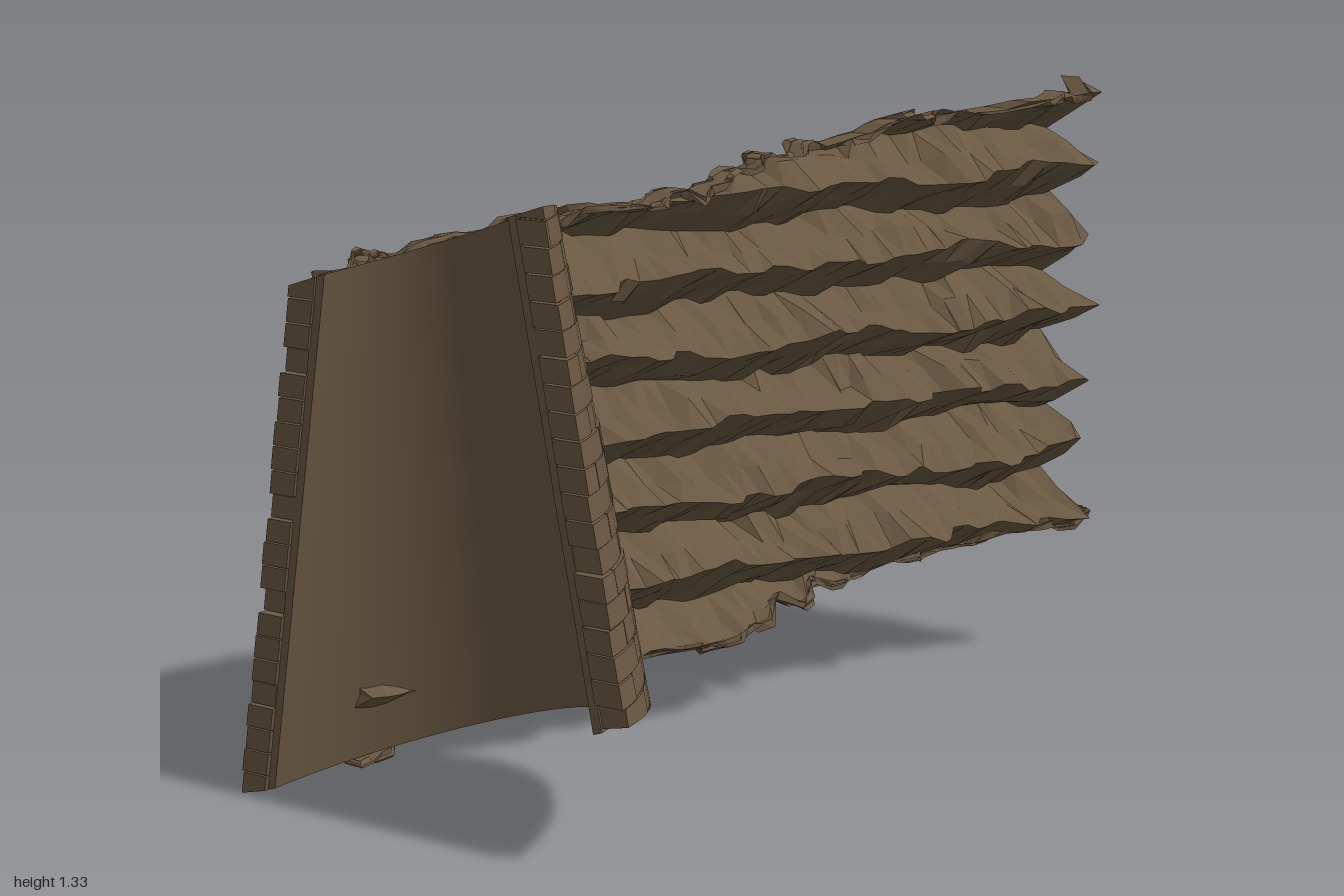
import * as THREE from 'three';
import { mergeGeometries } from 'three/addons/utils/BufferGeometryUtils.js';

const clamp = THREE.MathUtils.clamp;

// Repeatable noise in -1..1 for a pair of grid numbers
function noise(i, j, seed) {
  const s = Math.sin(i * 127.1 + j * 311.7 + seed * 74.7) * 43758.5453;
  return 2 * (s - Math.floor(s)) - 1;
}

// Tower frame: centre, facing direction N and direction T along the cut
const CX = -0.799, CZ = 0.089;
const NX = 0.866, NZ = -0.5, TX = 0.5, TZ = 0.866;
const CUT = 0.057;
const bottomAt = (s) => 0.16 + 0.335 * s;
const topAt = (s) => 1.155 + 0.335 * s;
const radiusAt = (y) => 0.498 - 0.171 * y;

// Point on the tapering half-round tower: u = -1..1 round the arc,
// d = depth below the outer face, inset = distance kept from foot and head
function towerPoint(u, d, y0, inset = 0) {
  let y = y0, r, a;
  for (let k = 0; k < 4; k++) {
    r = radiusAt(y) - d;
    a = u * Math.acos(CUT / r);
    const s = r * Math.sin(a);
    y = clamp(y0, Math.max(0, bottomAt(s)) + inset, topAt(s) - inset);
  }
  const n = r * Math.cos(a), t = r * Math.sin(a);
  return [CX + n * NX + t * TX, y, CZ + n * NZ + t * TZ];
}

// Bends a unit box onto the tower
function towerBlock(u0, u1, y0, y1, dOut, dIn, rows, cols, inset = 0) {
  const geo = new THREE.BoxGeometry(1, 1, 1, 1, rows, cols);
  const p = geo.attributes.position;
  for (let i = 0; i < p.count; i++) {
    const d = p.getX(i) > 0 ? dOut : dIn;
    const y = y0 + (y1 - y0) * (p.getY(i) + 0.5);
    const u = u0 + (u1 - u0) * (p.getZ(i) + 0.5);
    p.setXYZ(i, ...towerPoint(u, d, y, inset));
  }
  geo.computeVertexNormals();
  return geo;
}

// Courses of bricks, cut off along the sloping foot and head
function towerBricks() {
  const parts = [], rowH = 0.049, gap = 0.003;
  for (let row = 0; row < 27; row++) {
    const y0 = row * rowH, y1 = y0 + rowH - gap;
    const arc = 2.9 * radiusAt(y0);
    const count = Math.max(5, Math.round(arc / 0.14));
    const shift = row % 2 ? 0.5 : 0;
    const gapU = (gap / arc) * 2;
    for (let k = 0; k <= count; k++) {
      const edge = (q) => clamp(-1 + (2 * (q - shift + noise(row, q, 1) * 0.12)) / count, -1, 1);
      const u0 = edge(k) + gapU / 2;
      const u1 = (k === count ? 1 : edge(k + 1)) - gapU / 2;
      if (u1 - u0 < 0.02) continue;
      const inside = [u0, (u0 + u1) / 2, u1].some(
        (u) => towerPoint(u, 0, y1)[1] - towerPoint(u, 0, y0)[1] > 0.004);
      if (!inside) continue;
      const out = 0.002 + noise(row, k, 2) * 0.003;
      parts.push(towerBlock(u0, u1, y0, y1, out, 0.062, 1, 3));
    }
  }
  return mergeGeometries(parts);
}

// Folded wall: level zigzag ridges, sloping foot and head, rough blocks
function foldedWall() {
  const cols = 60, rows = 36, period = 0.16;
  const geo = new THREE.BoxGeometry(1, 1, 1, cols, rows, 1);
  const p = geo.attributes.position;
  for (let n = 0; n < p.count; n++) {
    const i = Math.round((p.getX(n) + 0.5) * cols);
    const j = Math.round((p.getY(n) + 0.5) * rows);
    const side = Math.sign(p.getZ(n));
    const x = -0.79 + (1.74 * i) / cols;
    const ragged = 0.014 * noise(i >> 1, 0, 3);
    const y = clamp(-0.06 + 0.04 * j, 0.185 + 0.165 * x + ragged, 1.16 + 0.165 * x + ragged);

    // Fold depth, swelling along each ridge, and offset of each block
    const q = (y - 0.02) / period;
    const fold = 1 - 4 * Math.abs(q - Math.round(q));
    const ridge = Math.round(q * 2);
    const swell = 0.009 * Math.sin(x * 46 + ridge * 2.1) + 0.008 * Math.sin(x * 17 + ridge * 4.3);
    const block = 0.012 * noise(i >> 1, j >> 1, 4);
    const z = -0.345 + 0.06 * fold + swell + block + side * 0.022;

    // Each ridge wanders a little up and down
    const wander = 0.009 * Math.sin(x * 11 + ridge * 1.7);
    const dy = j === 0 || j === rows ? 0 : wander + 0.012 * noise(i >> 1, j, 5);
    const dx = 0.009 * noise(i, j, 6);
    p.setXYZ(n, x + dx + 0.47 * (z + 0.345), y + dy, z);
  }
  geo.computeVertexNormals();
  return geo;
}

export function createModel() {
  const group = new THREE.Group();
  const stone = new THREE.MeshStandardMaterial({ color: 0x6a5842, flatShading: true, side: THREE.DoubleSide });
  const plaster = new THREE.MeshStandardMaterial({ color: 0x6a5842 });
  const mortar = new THREE.MeshStandardMaterial({ color: 0x3a3024 });

  const add = (name, geo, mat) => {
    const mesh = new THREE.Mesh(geo, mat);
    mesh.name = name;
    group.add(mesh);
  };

  add('towerBricks', towerBricks(), stone);
  // Dark bed behind the bricks, set back from the ends, foot and head
  add('towerMortar', towerBlock(-0.95, 0.95, 0, 1.3, 0.01, 0.065, 26, 40, 0.008), mortar);
  // Plain inner face of the tower
  add('towerLining', towerBlock(-0.985, 0.985, 0, 1.3, 0.06, 0.08, 26, 40), plaster);
  add('foldedWall', foldedWall(), stone);
  return group;
}
